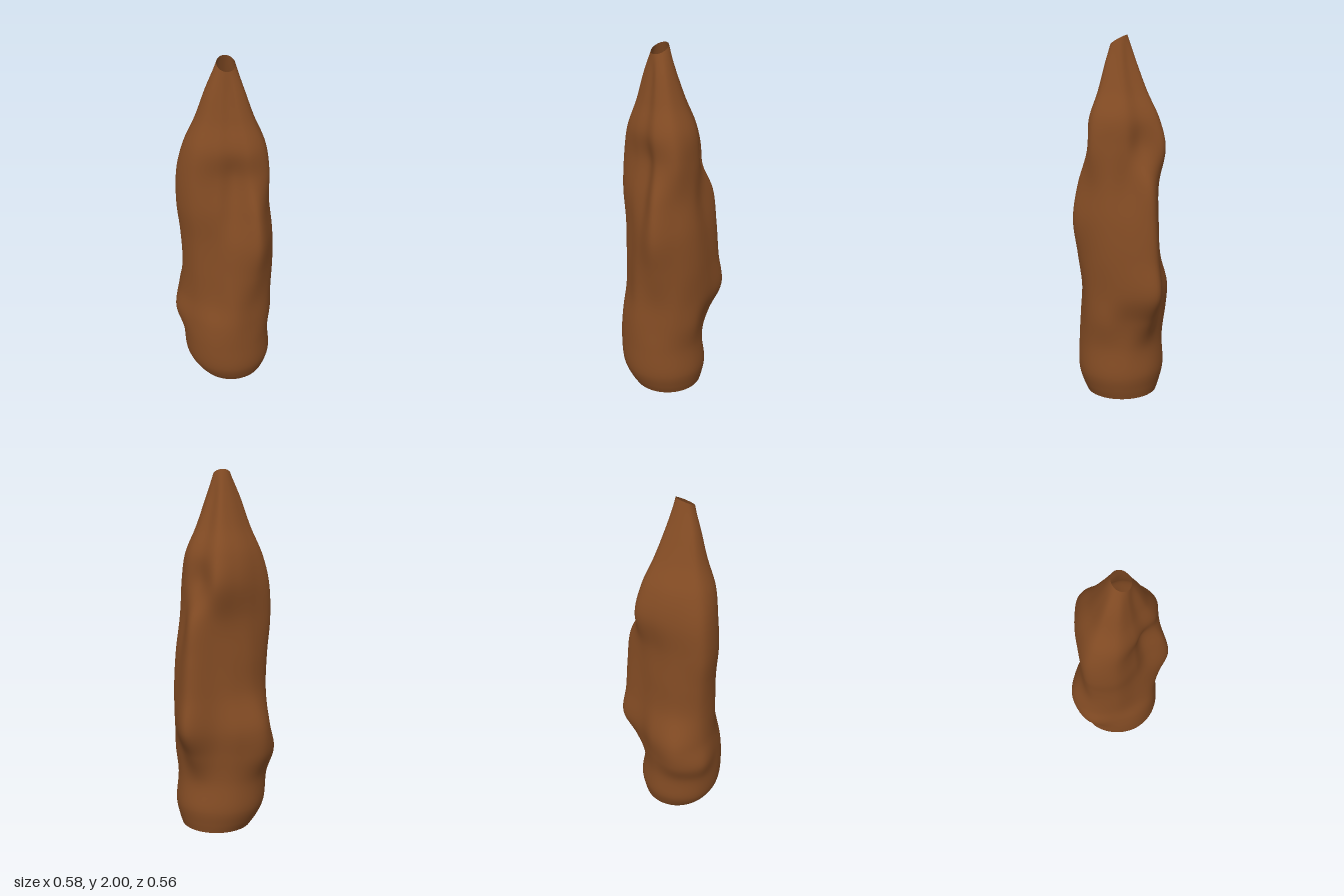
import * as THREE from 'three';

// Knobbly cross-sections: height, then radii every 30 degrees from +x towards +z
const KNOBBLY = [
  [0.3, .21, .22, .23, .24, .255, .27, .28, .29, .265, .235, .208, .203],
  [0.45, .22, .235, .235, .23, .25, .258, .275, .33, .315, .25, .22, .255],
  [0.6, .255, .235, .235, .225, .235, .225, .255, .3, .315, .262, .237, .325],
  [0.8, .25, .24, .24, .25, .22, .21, .25, .28, .25, .22, .222, .3],
  [1.0, .23, .23, .24, .275, .205, .2, .25, .285, .24, .21, .215, .283],
  [1.2, .195, .205, .215, .245, .165, .195, .262, .3, .235, .205, .217, .257],
  [1.4, .18, .19, .215, .185, .13, .167, .25, .29, .24, .23, .248, .165],
];
// Foot and tip grow rounder away from their neighbour: height, share of its radii, added radius
const FOOT = [[0, 0, .2], [.05, .3, .15], [.13, .6, .1]];
const TIP = [[1.55, .65, .056], [1.7, .45, .04], [1.85, .28, .028], [1.975, 0, .047]];
const ROWS = 104, COLS = 96;

const rounder = ring => ([y, share, add]) => [y, ...ring.slice(1).map(r => r * share + add)];

// Smooth open skin lofted through the cross-sections
function loftGeometry() {
  const sections = [
    ...FOOT.map(rounder(KNOBBLY[0])),
    ...KNOBBLY,
    ...TIP.map(rounder(KNOBBLY[KNOBBLY.length - 1])),
  ];
  const last = sections.length - 1;
  const spines = Array.from({ length: 12 }, (_, k) => {
    const angle = k * Math.PI / 6;
    return new THREE.CatmullRomCurve3(sections.map(([y, ...radii], i) => {
      // the upper part leans slightly to one side
      const lean = Math.max(0, (y - 1.4) / 0.575);
      const dx = radii[k] * Math.cos(angle), dz = radii[k] * Math.sin(angle);
      // the open tip is cut at a slant, lowest in front
      const slant = i === last ? 0.2 * dx - 0.5 * dz : 0;
      return new THREE.Vector3(dx - 0.038 * lean, y + slant, dz + 0.01 * lean);
    }));
  });
  const pos = [], index = [];
  for (let i = 0; i <= ROWS; i++) {
    const ring = new THREE.CatmullRomCurve3(spines.map(s => s.getPoint(i / ROWS)), true);
    for (let j = 0; j < COLS; j++) {
      const p = ring.getPoint(j / COLS);
      pos.push(p.x, p.y, p.z);
      if (i === ROWS) continue;
      const a = i * COLS + j, b = i * COLS + (j + 1) % COLS;
      index.push(a, a + COLS, b, b, a + COLS, b + COLS);
    }
  }
  const g = new THREE.BufferGeometry();
  g.setAttribute('position', new THREE.Float32BufferAttribute(pos, 3));
  g.setIndex(index);
  g.computeVertexNormals();
  return g;
}

export function createModel() {
  const brown = new THREE.MeshStandardMaterial({ color: 0x844c24, side: THREE.DoubleSide });
  brown.name = 'brown';
  const body = new THREE.Mesh(loftGeometry(), brown);
  body.name = 'taperedTrunk';
  const group = new THREE.Group();
  group.name = 'gnarledTrunk';
  group.add(body);
  return group;
}
